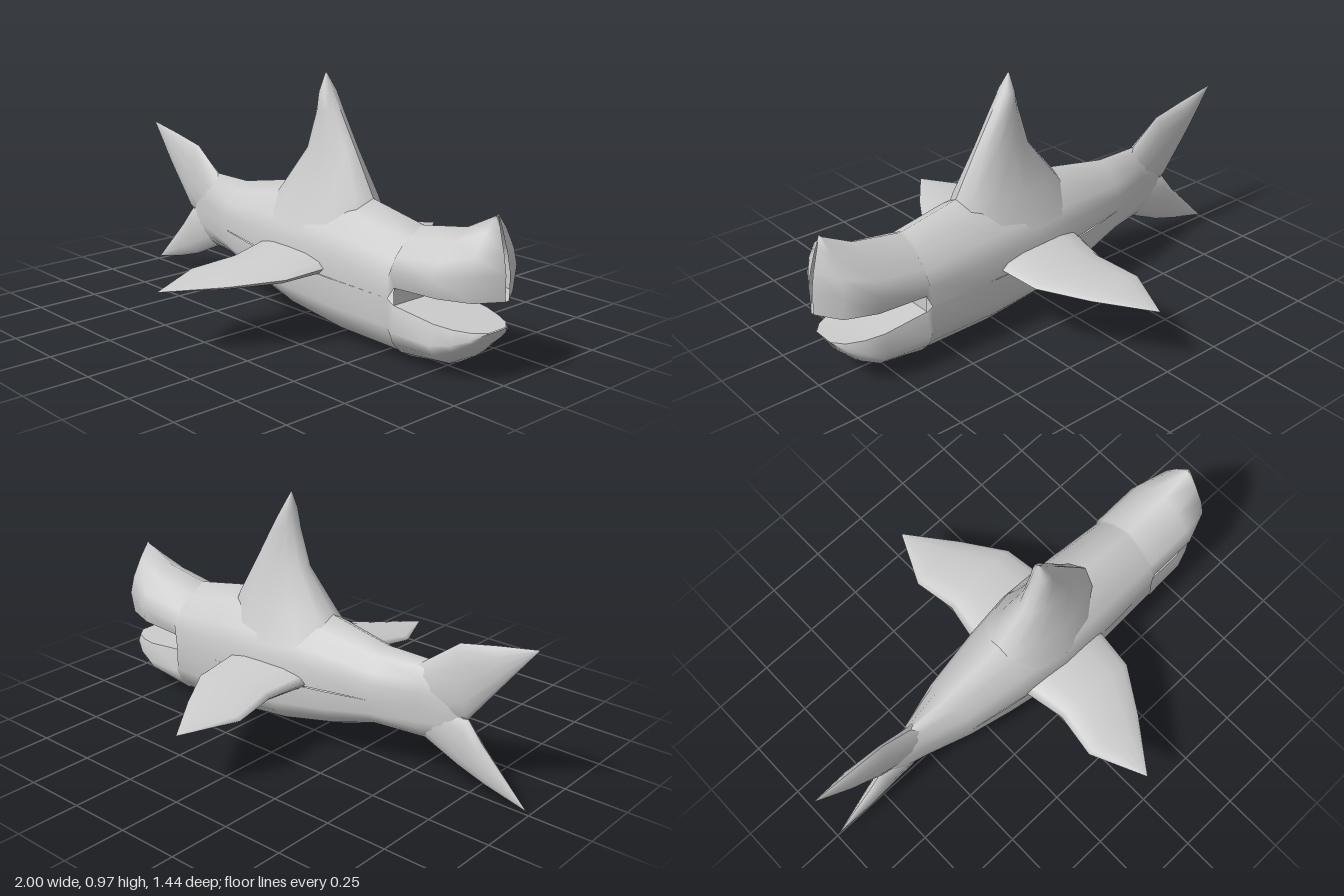
import * as THREE from 'three';

const material = new THREE.MeshStandardMaterial({ color: 0xcccccc, side: THREE.DoubleSide });

// Smooth surface through rows of [x, y, z] points
function skin(name, rows) {
  const n = rows[0].length, index = [];
  for (let i = 0; i < rows.length - 1; i++) {
    for (let j = 0; j < n - 1; j++) {
      const a = i * n + j, c = a + n;
      index.push(a, c, a + 1, a + 1, c, c + 1);
    }
  }
  const geometry = new THREE.BufferGeometry();
  geometry.setAttribute('position', new THREE.Float32BufferAttribute(rows.flat(2), 3));
  geometry.setIndex(index);
  geometry.computeVertexNormals();
  const mesh = new THREE.Mesh(geometry, material);
  mesh.name = name;
  return mesh;
}

// Fin of lens-shaped sections [x0, y0, x1, y1, half thickness, centre offset in z]
function fin(name, sections) {
  return skin(name, sections.map(([x0, y0, x1, y1, h, offset = 0]) =>
    Array.from({ length: 13 }, (_, j) => {
      const t = j / 12 * Math.PI * 2, k = (1 + Math.cos(t)) / 2;
      return [x0 + (x1 - x0) * k, y0 + (y1 - y0) * k, offset + h * Math.sin(t)];
    })));
}

// Half hull: sections [x, half width, seam y, ridge y, lean]; profile gives [width, height] fractions
function hull(name, sections, profile, side) {
  const arc = [...profile, ...profile.slice(0, -1).reverse().map(([w, f]) => [-w, f])];
  return skin(name, sections.map(([x, w, seam, ridge, lean = 0]) =>
    arc.map(([k, f]) => {
      const lip = f === 0 && x > 0.615 ? 0.87 : 1;
      return [x - lean * Math.max(0, (f - 0.4) / 0.6), seam + (ridge - seam) * f, side * w * k * lip];
    })));
}

// Flat mouth surface spanning the lip edges of a jaw
function mouthSurface(name, sections, side) {
  return skin(name, sections.filter(s => s[0] > 0.615).map(([x, w, seam]) =>
    [1, 0, -1].map(k => [x, seam, side * k * w * 0.87])));
}

export function createModel() {
  const model = new THREE.Group();

  // Back and snout
  const upper = [
    [-0.73, 0, 0.29, 0.31], [-0.66, 0.03, 0.29, 0.44], [-0.55, 0.055, 0.3, 0.475],
    [-0.36, 0.115, 0.29, 0.475], [-0.1, 0.16, 0.28, 0.525], [0.1, 0.185, 0.27, 0.55],
    [0.37, 0.18, 0.26, 0.535], [0.61, 0.166, 0.25, 0.488], [0.62, 0.166, 0.285, 0.486],
    [0.82, 0.166, 0.295, 0.52], [0.94, 0.12, 0.3, 0.582], [1, 0.01, 0.3, 0.592, 0.05],
  ];
  model.add(hull('upperBody', upper,
    [[1, 0], [1, 0.32], [0.83, 0.56], [0.46, 0.83], [0, 1]], 1));

  // Belly and lower jaw
  const lower = [
    [-0.73, 0, 0.29, 0.27], [-0.66, 0.03, 0.29, 0.2], [-0.55, 0.055, 0.3, 0.16],
    [-0.36, 0.115, 0.29, 0.16], [-0.17, 0.15, 0.28, 0.1], [0.05, 0.182, 0.27, 0.05],
    [0.32, 0.18, 0.26, 0.012], [0.61, 0.166, 0.25, 0.003], [0.62, 0.166, 0.222, 0.002],
    [0.8, 0.158, 0.2, 0.028], [0.87, 0.135, 0.193, 0.07], [0.93, 0.1, 0.19, 0.13],
    [0.965, 0.05, 0.19, 0.187],
  ];
  model.add(hull('lowerBody', lower,
    [[1, 0], [1, 0.42], [0.87, 0.64], [0.62, 0.83], [0.32, 0.95], [0, 1]], -1));

  // Inside of the mouth
  model.add(mouthSurface('palate', upper, -1), mouthSurface('mouthFloor', lower, 1));
  model.add(skin('throat', [[[0.62, 0.222, 0.145], [0.62, 0.222, -0.145]],
    [[0.62, 0.285, 0.145], [0.62, 0.285, -0.145]]]));

  // Thick dorsal fin flowing into the back
  model.add(fin('dorsalFin', [
    [-0.2, 0.4, 0.42, 0.4, 0.17], [-0.1, 0.52, 0.37, 0.535, 0.115],
    [0.03, 0.68, 0.275, 0.7, 0.064], [0.08, 0.83, 0.197, 0.83, 0.048],
    [0.095, 0.9, 0.155, 0.9, 0.037], [0.113, 0.975, 0.113, 0.975, 0],
  ]));

  // Forked tail
  model.add(fin('upperTailFin', [
    [-0.5, 0.24, -0.5, 0.46, 0.045], [-0.62, 0.26, -0.55, 0.475, 0.042],
    [-0.73, 0.29, -0.68, 0.572, 0.03], [-0.87, 0.47, -0.83, 0.604, 0.027],
    [-1, 0.635, -1, 0.635, 0],
  ]));
  model.add(fin('lowerTailFin', [
    [-0.5, 0.18, -0.5, 0.38, 0.045], [-0.55, 0.16, -0.62, 0.33, 0.042],
    [-0.7, 0.092, -0.73, 0.29, 0.03], [-0.82, 0.055, -0.79, 0.215, 0.025],
    [-0.99, 0.015, -0.99, 0.015, 0],
  ]));

  // Pectoral fins, drooping slightly towards the tips
  for (const side of [1, -1]) {
    const pectoral = new THREE.Group();
    pectoral.name = side > 0 ? 'leftPectoralFin' : 'rightPectoralFin';
    const blade = fin('pectoralBlade', [
      [-0.11, 0.1, 0.32, 0.1, 0.055, -0.29], [-0.09, 0.18, 0.3, 0.18, 0.046, -0.288],
      [-0.06, 0.32, 0.282, 0.345, 0.034, -0.276], [-0.085, 0.5, 0.17, 0.52, 0.023, -0.26],
      [0.02, 0.72, 0.02, 0.72, 0, -0.248],
    ]);
    blade.rotation.x = Math.PI / 2;
    pectoral.add(blade);
    pectoral.scale.z = side;
    model.add(pectoral);
  }

  return model;
}
